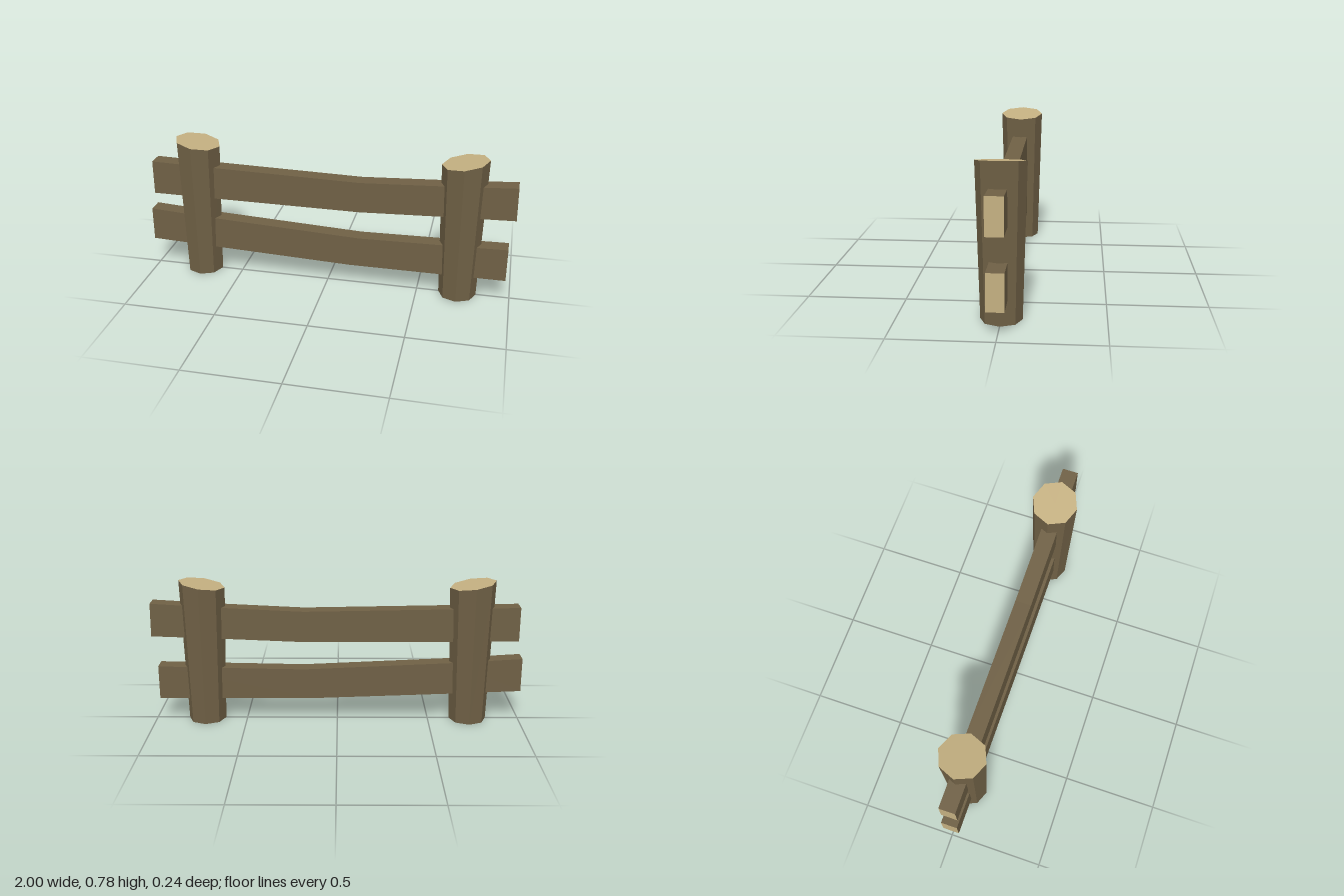
import * as THREE from 'three';

const bark = new THREE.MeshStandardMaterial({ color: 0x6f6045, side: THREE.DoubleSide });
bark.name = 'barkBrown';
const cutWood = new THREE.MeshStandardMaterial({ color: 0xc3af80, side: THREE.DoubleSide });
cutWood.name = 'cutWoodTan';

const POST_X = 0.72, POST_H = 0.764, SLOPE = 0.165;

function flat(geometry) {
  const g = geometry.index ? geometry.toNonIndexed() : geometry;
  g.computeVertexNormals();
  return g;
}

// Tapered eight-sided post, open below, with a slanted top that rises outwards
function makePost(side) {
  const post = new THREE.Group();
  const slant = (geometry) => {
    const p = geometry.attributes.position;
    for (let i = 0; i < p.count; i++) {
      if (p.getY(i) > POST_H / 2) p.setY(i, POST_H + side * SLOPE * p.getX(i));
    }
    return flat(geometry);
  };

  const shell = new THREE.CylinderGeometry(0.122, 0.101, POST_H, 8, 1, true);
  shell.translate(0, POST_H / 2, 0);
  const trunk = new THREE.Mesh(slant(shell), bark);
  trunk.name = 'postTrunk';

  const disc = new THREE.CircleGeometry(0.122, 8);
  disc.rotateX(-Math.PI / 2).translate(0, POST_H, 0);
  const cap = new THREE.Mesh(slant(disc), cutWood);
  cap.name = 'postTop';

  post.add(trunk, cap);
  post.position.x = side * POST_X;
  return post;
}

// Bent plank drawn by its front outline, with pale wood on the two sawn ends
function makeRail(name, top, bottom) {
  const outline = [...bottom, ...top.slice().reverse()].map(([x, y]) => new THREE.Vector2(x, y));
  const g = new THREE.ExtrudeGeometry(new THREE.Shape(outline), { depth: 0.086, bevelEnabled: false });
  g.translate(0, 0, -0.037);
  flat(g);
  g.clearGroups();
  const n = g.attributes.normal;
  for (let i = 0; i < n.count; i += 3) g.addGroup(i, 3, Math.abs(n.getX(i)) > 0.8 ? 1 : 0);
  const rail = new THREE.Mesh(g, [bark, cutWood]);
  rail.name = name;
  return rail;
}

export function createModel() {
  const fence = new THREE.Group();
  fence.name = 'fence';

  for (const side of [-1, 1]) {
    const post = makePost(side);
    post.name = side > 0 ? 'leftPost' : 'rightPost';
    fence.add(post);
  }

  fence.add(
    makeRail('upperRail',
      [[-0.974, 0.644], [-0.62, 0.636], [0.18, 0.621], [0.62, 0.642], [0.995, 0.664]],
      [[-0.974, 0.457], [-0.62, 0.455], [0.18, 0.452], [0.62, 0.47], [0.998, 0.483]]),
    makeRail('lowerRail',
      [[-1.0, 0.358], [-0.62, 0.334], [0.18, 0.296], [0.62, 0.304], [0.972, 0.312]],
      [[-1.0, 0.173], [-0.62, 0.157], [0.13, 0.129], [0.972, 0.129]]),
  );
  return fence;
}
